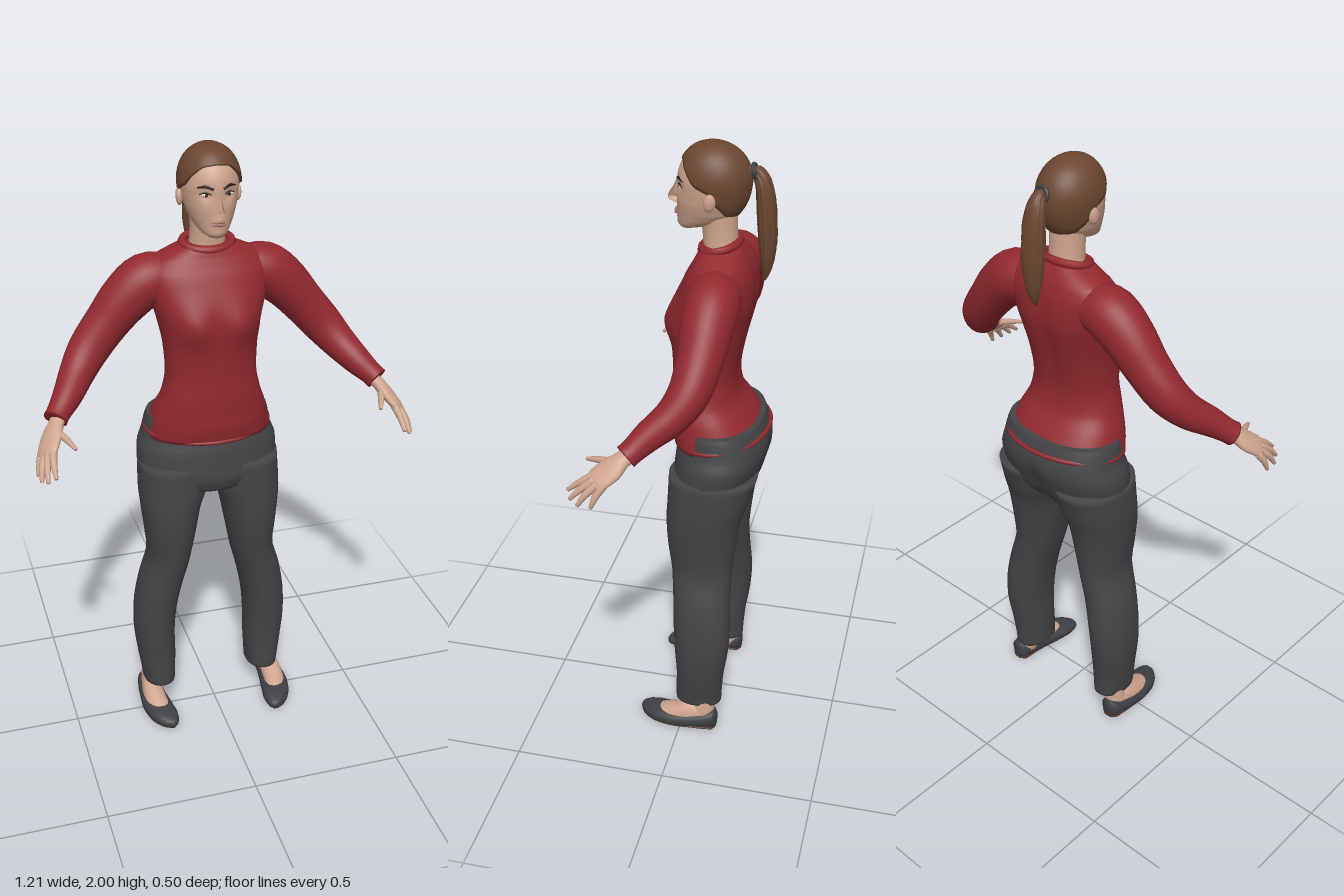
import * as THREE from 'three';

const V = (x, y, z) => new THREE.Vector3(x, y, z);
const mat = (name, color) => Object.assign(new THREE.MeshStandardMaterial({ color }), { name });
const gauss = (dx, dy, s) => Math.exp(-(dx * dx + dy * dy) / (s * s));

// Linear lookup in a table whose rows start with the key
function lookup(table, x) {
  let i = 0;
  while (i < table.length - 2 && x > table[i + 1][0]) i++;
  const t = THREE.MathUtils.clamp((x - table[i][0]) / (table[i + 1][0] - table[i][0]), 0, 1);
  return table[i].slice(1).map((v, k) => v + (table[i + 1][k + 1] - v) * t);
}

// Closed skin over a list of equally sized rings
function skinRings(rings) {
  const n = rings[0].length, m = rings.length, pos = [], idx = [];
  for (const r of rings) for (const p of r) pos.push(p.x, p.y, p.z);
  for (let i = 0; i < m - 1; i++) for (let j = 0; j < n; j++) {
    const a = i * n + j, b = i * n + (j + 1) % n;
    idx.push(a, b, a + n, b, b + n, a + n);
  }
  for (const i of [0, m - 1]) {
    const c = rings[i].reduce((s, p) => s.add(p), V(0, 0, 0)).divideScalar(n);
    const k = pos.length / 3;
    pos.push(c.x, c.y, c.z);
    for (let j = 0; j < n; j++) {
      const a = i * n + j, b = i * n + (j + 1) % n;
      if (i === 0) idx.push(k, b, a); else idx.push(k, a, b);
    }
  }
  const g = new THREE.BufferGeometry();
  g.setAttribute('position', new THREE.Float32BufferAttribute(pos, 3));
  g.setIndex(idx);
  g.computeVertexNormals();
  return g;
}

// Smooth loft through rows [x, y, z, radiusU, radiusV]
function loft(rows, { n = 28, sub = 4, hint = V(1, 0, 0), axis = null, power = 2, deform = null } = {}) {
  const curve = new THREE.CatmullRomCurve3(rows.map(r => V(r[0], r[1], r[2])));
  const radii = new THREE.CatmullRomCurve3(rows.map(r => V(r[3], r[4], 0)));
  const rings = [], m = (rows.length - 1) * sub;
  for (let i = 0; i <= m; i++) {
    const c = curve.getPoint(i / m), r = radii.getPoint(i / m);
    const T = axis || curve.getTangent(i / m);
    const U = hint.clone().addScaledVector(T, -hint.dot(T)).normalize();
    const W = T.clone().cross(U), ring = [];
    for (let j = 0; j < n; j++) {
      const a = j / n * Math.PI * 2, cs = Math.cos(a), sn = Math.sin(a);
      const sq = v => Math.sign(v) * Math.abs(v) ** (2 / power);
      const p = c.clone().addScaledVector(U, r.x * sq(cs)).addScaledVector(W, r.y * sq(sn));
      if (deform) deform(p, a);
      ring.push(p);
    }
    rings.push(ring);
  }
  return skinRings(rings);
}

// Head cross-sections: y, half width, front z, back z
const HEAD = [[1.735, .022, .044, .005], [1.745, .04, .052, -.04], [1.765, .056, .054, -.1], [1.79, .069, .055, -.13],
  [1.82, .079, .057, -.147], [1.85, .085, .056, -.156], [1.88, .088, .056, -.16]];
function headSize(y) {
  const [rx, f, b] = lookup(HEAD, y);
  const k = y > 1.88 ? Math.sqrt(Math.max(0, 1 - ((y - 1.88) / .111) ** 2)) : 1;
  return { rx: rx * k, cz: (f + b) / 2, rz: (f - b) / 2 * k };
}
function headPoint(a, y, grow = 0) {
  const { rx, cz, rz } = headSize(y);
  const p = V((rx + grow) * Math.cos(a), y, cz - (rz + grow) * Math.sin(a));
  if (!grow && p.z > 0) {
    p.z -= .009 * gauss(Math.abs(p.x) - .036, y - 1.866, .017);           // eye sockets
    p.z += .006 * gauss(p.x, y - 1.783, .016) + .005 * gauss(p.x, y - 1.75, .016); // mouth, chin
  }
  return p;
}
function faceZ(x, y) {
  const { rx, cz, rz } = headSize(y);
  return cz + rz * Math.sqrt(1 - (x / rx) ** 2);
}
const angles = n => Array.from({ length: n }, (_, j) => j / n * Math.PI * 2);

export function createModel() {
  const root = new THREE.Group();
  const M = {
    skin: mat('skin', 0xcfa58e), hair: mat('brown hair', 0x6b4630), red: mat('red knit', 0x92292f),
    trousers: mat('charcoal cloth', 0x444446), shoe: mat('dark shoe', 0x3e4043), sole: mat('brown sole', 0x4a2f24),
    dark: mat('dark brow', 0x2c2220), white: mat('eye white', 0xd8d0c8), lip: mat('lip', 0xa8706a)
  };
  const add = (name, geo, m, parent = root) => {
    const o = new THREE.Mesh(geo, m);
    o.name = name;
    parent.add(o);
    return o;
  };
  const blob = (name, m, p, s, parent) => {
    const o = add(name, new THREE.SphereGeometry(1, 16, 12), m, parent);
    o.position.set(...p);
    o.scale.set(...s);
    return o;
  };
  const up = V(0, 1, 0), down = V(0, -1, 0);

  // Sweater body with bust, collar and hem
  add('sweaterBody', loft([[0, 1.055, -.078, .205, .138], [0, 1.1, -.073, .197, .142], [0, 1.15, -.058, .183, .127],
    [0, 1.2, -.04, .163, .11], [0, 1.28, -.037, .147, .103], [0, 1.38, -.045, .152, .113], [0, 1.46, -.056, .168, .122],
    [0, 1.52, -.066, .184, .124], [0, 1.6, -.08, .2, .105], [0, 1.645, -.085, .17, .085], [0, 1.67, -.083, .12, .072],
    [0, 1.69, -.08, .075, .06]], {
    n: 48, axis: up, power: 2.25, deform: p => {
      if (p.z > 0) p.z += .026 * gauss(Math.abs(p.x) - .08, p.y - 1.455, .06);
      if (p.z < -.1) p.z += .012 * Math.exp(-((p.x / .03) ** 2)) * gauss(0, p.y - 1.45, .18); // spine groove
    }
  }), M.red);
  const ringTube = (f, r) => new THREE.TubeGeometry(
    new THREE.CatmullRomCurve3(angles(24).map(f), true), 64, r, 8, true);
  add('collar', ringTube(a => V(.078 * Math.cos(a), 1.688 - .012 * Math.sin(a), -.076 + .056 * Math.sin(a)), .013), M.red);
  add('hem', ringTube(a => V(.207 * Math.cos(a), 1.072 - .015 * Math.sin(a), -.09 + .15 * Math.sin(a)), .007), M.red);

  // Trouser seat
  add('trouserSeat', loft([[0, .85, -.06, .06, .07], [0, .875, -.066, .17, .115], [0, .92, -.075, .232, .138],
    [0, 1, -.093, .234, .147], [0, 1.05, -.1, .216, .144], [0, 1.1, -.094, .206, .135], [0, 1.122, -.09, .199, .131]],
  { n: 44, axis: up, power: 2.2, deform: p => {
    if (p.z < -.15) p.z += .02 * Math.exp(-((p.x / .025) ** 2)) * gauss(0, p.y - .93, .09);
  } }), M.trousers);

  for (const s of [1, -1]) {
    const side = s > 0 ? 'left' : 'right';
    const flip = rows => rows.map(([x, ...r]) => [x * s, ...r]);

    // Sleeve and cuff
    add(side + 'Sleeve', loft(flip([[.1, 1.58, -.088, .07, .07], [.19, 1.573, -.092, .083, .085],
      [.255, 1.525, -.09, .078, .08], [.32, 1.452, -.085, .069, .07], [.385, 1.375, -.068, .062, .065],
      [.43, 1.32, -.03, .054, .056], [.475, 1.272, .03, .045, .046], [.514, 1.235, .072, .037, .037],
      [.524, 1.225, .084, .038, .038]]), { hint: V(0, 0, 1) }), M.red);

    // Hand with palm and five fingers
    const hand = new THREE.Group();
    hand.name = side + 'Hand';
    root.add(hand);
    add('palm', loft(flip([[.505, 1.235, .065, .026, .02], [.525, 1.214, .095, .028, .02], [.543, 1.19, .122, .04, .019],
      [.563, 1.163, .157, .04, .015], [.572, 1.15, .172, .032, .009]]),
    { n: 18, hint: V(.03 * s, -.015, -.04).normalize() }), M.skin, hand);
    [['thumb', [.53, 1.205, .11], [.507, 1.195, .165], [.487, 1.182, .212]],
      ['indexFinger', [.55, 1.168, .172], [.556, 1.142, .214], [.557, 1.112, .252]],
      ['middleFinger', [.564, 1.158, .168], [.575, 1.13, .207], [.58, 1.095, .24]],
      ['ringFinger', [.573, 1.152, .156], [.588, 1.12, .19], [.595, 1.085, .213]],
      ['littleFinger', [.578, 1.152, .138], [.592, 1.12, .158], [.598, 1.085, .172]]].forEach(([name, a, b, c]) =>
      add(name, loft(flip([[...a, .013, .013], [...b, .0105, .0105], [...c, .006, .006]]),
        { n: 10, hint: V(.6 * s, -.3, -.7) }), M.skin, hand));

    // Trouser leg
    add(side + 'TrouserLeg', loft(flip([[.118, .96, -.085, .116, .143], [.125, .86, -.069, .113, .131], [.135, .8, -.058, .1, .122],
      [.14, .7, -.053, .085, .112], [.147, .6, -.055, .073, .1], [.174, .5, -.06, .075, .095], [.193, .4, -.065, .073, .095],
      [.2, .3, -.065, .07, .09], [.195, .2, -.06, .065, .08], [.191, .12, -.055, .057, .079], [.19, .092, -.055, .055, .078]]),
    { n: 32, axis: down, power: 2.2 }), M.trousers);

    // Ankle, foot, shoe and sole
    add(side + 'Ankle', loft(flip([[.2, .18, -.07, .034, .04], [.212, .1, -.075, .033, .04], [.218, .03, -.07, .036, .045]]),
      { n: 18, axis: down }), M.skin);
    add(side + 'Foot', loft(flip([[.22, .045, -.1, .025, .03], [.222, .045, -.04, .034, .05], [.22, .035, .02, .038, .036],
      [.212, .028, .07, .034, .022], [.205, .025, .1, .02, .01]]), { n: 18, axis: V(0, 0, 1) }), M.skin);
    add(side + 'Shoe', loft(flip([[.222, .035, -.125, .014, .022], [.222, .035, -.113, .032, .034], [.223, .03, -.07, .04, .03],
      [.222, .024, -.02, .045, .03], [.219, .02, .03, .05, .03], [.21, .018, .08, .049, .028], [.2, .016, .12, .038, .022],
      [.192, .014, .143, .021, .014], [.189, .013, .15, .006, .006]]),
    { n: 24, axis: V(0, 0, 1), power: 2.4, deform: p => { p.y = Math.max(p.y, .006); } }), M.shoe);
    add(side + 'Sole', loft(flip([[.222, .004, -.123, .014, .004], [.222, .004, -.11, .031, .004], [.223, .004, -.04, .037, .004],
      [.217, .004, .04, .046, .004], [.208, .004, .09, .044, .004], [.196, .004, .135, .025, .004], [.19, .004, .147, .008, .004]]),
    { n: 20, axis: V(0, 0, 1), power: 4 }), M.sole);

    // Ear, eye and brow
    blob(side + 'Ear', M.skin, [.09 * s, 1.842, -.06], [.011, .029, .018]).rotation.set(-.15, .3 * s, 0);
    const ez = faceZ(.036, 1.866) - .009;
    blob(side + 'Eye', M.white, [.036 * s, 1.866, ez], [.014, .006, .006]);
    blob(side + 'Iris', M.dark, [.035 * s, 1.866, ez + .003], [.006, .0058, .0045]);
    const onFace = (pts, r, off) => loft(flip(pts.map(([x, y, k]) => [x, y, faceZ(x, y) + off, r * k, .003])),
      { n: 8, hint: V(0, 1, 0) });
    add(side + 'UpperLid', onFace([[.02, 1.868, .5], [.036, 1.874, 1], [.053, 1.868, .5]], .0025, -.004), M.dark);
    add(side + 'Brow', onFace([[.015, 1.885, .8], [.035, 1.893, 1], [.058, 1.888, .4]], .0048, -.001), M.dark);
  }

  // Neck and head
  add('neck', loft([[0, 1.64, -.08, .062, .055], [0, 1.72, -.074, .054, .053], [0, 1.81, -.068, .056, .057]], { axis: up }), M.skin);
  const headRows = [];
  for (let y = 1.735; y < 1.879; y += .006) headRows.push(y);
  for (let i = 0; i <= 12; i++) headRows.push(1.88 + .11 * Math.sin(i / 12 * Math.PI / 2));
  add('head', skinRings(headRows.map(y => angles(64).map(a => headPoint(a, y)))), M.skin);
  add('nose', loft([[0, 1.882, .05, .007, .007], [0, 1.855, .057, .009, .013], [0, 1.83, .064, .012, .021],
    [0, 1.818, .065, .016, .021], [0, 1.808, .058, .012, .01]], { n: 16, axis: up }), M.skin);
  for (const [name, y, h] of [['upperLip', 1.787, .004], ['lowerLip', 1.779, .005]])
    blob(name, M.lip, [0, y, faceZ(0, y) + .005], [.021, h, .005]);

  // Swept-back hair: hairline height by how far forward the point faces
  const HAIRLINE = [[-1, 1.785], [-.6, 1.795], [-.2, 1.835], [0, 1.868], [.35, 1.885], [.6, 1.918], [.85, 1.945], [1, 1.952]];
  add('hairCap', skinRings(Array.from({ length: 18 }, (_, i) => angles(64).map(a => {
    const low = lookup(HAIRLINE, -Math.sin(a))[0];
    const t = Math.sin(Math.max(0, i - 1) / 16 * Math.PI / 2);
    const p = headPoint(a, low + (1.99 - low) * t, i === 0 ? -.004 : .009 * (1 - t ** 8) + .0001);
    p.y += .009 * t;
    return p;
  }))), M.hair);

  // Ponytail with fine strands and a tie
  add('ponytail', loft([[0, 1.915, -.15, .02, .02], [0, 1.915, -.18, .02, .02], [0, 1.885, -.2, .03, .024], [0, 1.8, -.212, .038, .029],
    [0, 1.72, -.217, .037, .028], [0, 1.65, -.218, .027, .02], [0, 1.61, -.215, .016, .012], [0, 1.582, -.21, .003, .003]],
  { n: 48, deform: (p, a) => { p.x *= 1 + .07 * Math.sin(a * 12); p.z += .0015 * Math.sin(a * 12 + p.y * 60); } }), M.hair);
  const tie = add('hairTie', new THREE.TorusGeometry(.021, .007, 8, 24), M.shoe);
  tie.position.set(0, 1.916, -.176);
  tie.rotation.x = .3;
  return root;
}
